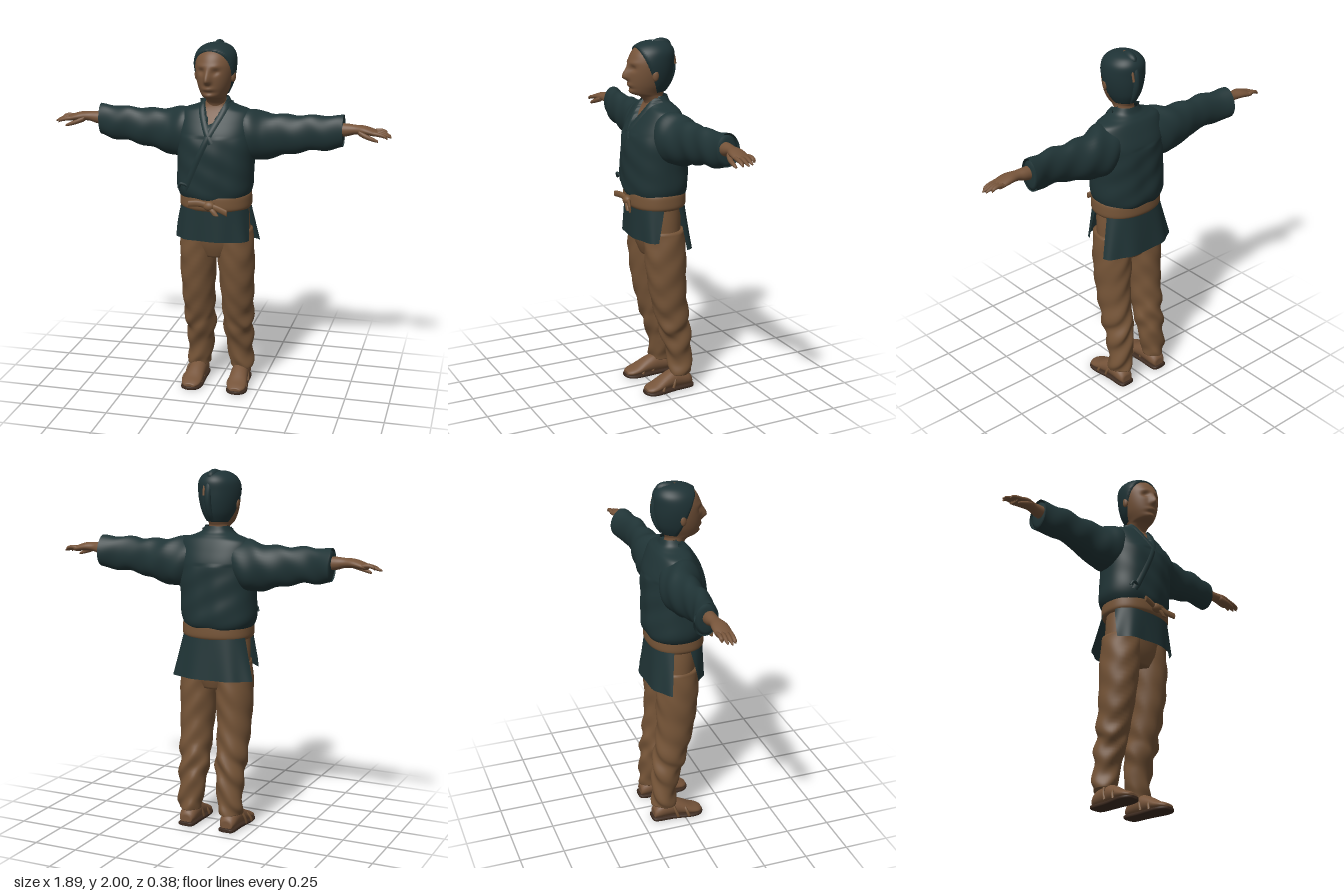
import * as THREE from 'three';

const DS = THREE.DoubleSide;
const mat = (name, color, side = THREE.FrontSide) => {
  const m = new THREE.MeshStandardMaterial({ color, side });
  m.name = name;
  return m;
};
const clamp = THREE.MathUtils.clamp;
const gauss = (d, w) => Math.exp(-(d * d) / (w * w));

// Smooth interpolation through a list of sections, s in 0..1
function sectionAt(secs, s) {
  const f = s * (secs.length - 1), i = Math.min(Math.floor(f), secs.length - 2), t = f - i;
  const get = k => secs[clamp(k, 0, secs.length - 1)];
  const [a, b, c, d] = [get(i - 1), get(i), get(i + 1), get(i + 2)];
  return b.map((_, k) => 0.5 * (2 * b[k] + (c[k] - a[k]) * t + (2 * a[k] - 5 * b[k] + 4 * c[k] - d[k]) * t * t
    + (3 * b[k] - a[k] - 3 * c[k] + d[k]) * t * t * t));
}

// Grid of points (rows x cols) turned into a smooth surface
function grid(rows, cols, point, closed, flip = false) {
  const pos = [], idx = [];
  for (let r = 0; r <= rows; r++) for (let c = 0; c < (closed ? cols : cols + 1); c++) pos.push(...point(r / rows, c / cols));
  const w = closed ? cols : cols + 1;
  for (let r = 0; r < rows; r++) for (let c = 0; c < cols; c++) {
    const a = r * w + c, b = r * w + (c + 1) % w, d = a + w, e = b + w;
    if (flip) idx.push(a, b, d, b, e, d); else idx.push(a, d, b, b, d, e);
  }
  const g = new THREE.BufferGeometry();
  g.setAttribute('position', new THREE.Float32BufferAttribute(pos, 3));
  g.setIndex(idx);
  g.computeVertexNormals();
  return g;
}

// Loft of elliptical sections [t, cu, ru, cv, rv] along an axis.
// y: u=x v=z;  x: u=z v=y;  z: u=y v=x.  side -1 mirrors in x.
function loft(axis, secs, { n = 28, rows = 24, e = 1, side = 1, cap = true, deform } = {}) {
  if (cap) {
    const end = s => [s[0], s[1], 0.0005, s[3], 0.0005];
    secs = [end(secs[0]), ...secs, end(secs[secs.length - 1])];
  }
  const k = secs.length - 1;
  return grid(rows, n, (s, c) => {
    // straight end caps, curved in between
    let q;
    if (cap && (s * k < 1 || s * k > k - 1)) {
      const i = s * k < 1 ? 0 : k - 1, t = s * k - i;
      q = secs[i].map((v, j) => v + (secs[i + 1][j] - v) * t);
    } else q = cap ? sectionAt(secs.slice(1, -1), (s * k - 1) / (k - 2)) : sectionAt(secs, s);
    const a = c * Math.PI * 2, f = v => Math.sign(v) * Math.pow(Math.abs(v), e);
    const u = q[1] + q[2] * f(Math.cos(a)), v = q[3] + q[4] * f(Math.sin(a));
    const p = axis === 'y' ? [u, q[0], v] : axis === 'x' ? [q[0], v, u] : [v, u, q[0]];
    if (deform) deform(p, q);
    p[0] *= side;
    return p;
  }, true, side < 0);
}

const TORSO = [[1.13, -.005, .178, -.015, .14], [1.16, -.01, .198, -.018, .16], [1.21, -.01, .212, -.018, .168],
  [1.31, -.005, .212, -.015, .168], [1.42, 0, .215, -.015, .166], [1.50, 0, .215, -.02, .155], [1.57, 0, .21, -.026, .125],
  [1.62, 0, .19, -.03, .098], [1.645, 0, .125, -.027, .082], [1.665, 0, .085, -.022, .07], [1.695, 0, .066, -.02, .062]];
const TE = 0.88;
// Front surface of the jacket at (x, y)
function torsoZ(x, y) {
  let lo = 0, hi = 1;
  for (let i = 0; i < 24; i++) { const m = (lo + hi) / 2; if (sectionAt(TORSO, m)[0] < y) lo = m; else hi = m; }
  const q = sectionAt(TORSO, lo), u = Math.min(1, Math.abs((x - q[1]) / q[2]));
  return q[3] + q[4] * Math.pow(1 - Math.pow(u, 2 / TE), TE / 2);
}

const HEAD = [[1.58, 0, .062, -.015, .058], [1.65, 0, .054, -.014, .054], [1.69, 0, .056, .005, .064], [1.712, 0, .064, .025, .092],
  [1.76, 0, .086, .02, .113], [1.82, 0, .101, .015, .122], [1.88, 0, .106, .01, .122], [1.93, 0, .098, 0, .112],
  [1.963, 0, .072, -.006, .085], [1.98, 0, .038, -.01, .046], [1.984, 0, .004, -.01, .004]];

// Nose, eye sockets, brow, lips and chin
function faceShape(p) {
  const [x, y, z] = p;
  if (z < 0.03) return;
  const ax = Math.abs(x), low = y < 1.8 ? .016 : .05;
  p[2] += .034 * gauss(x, .017) * gauss(y - 1.8, low) - .013 * gauss(ax - .04, .02) * gauss(y - 1.848, .015)
    + .005 * gauss(ax - .04, .03) * gauss(y - 1.878, .012) + .009 * gauss(x, .03) * gauss(y - 1.757, .01)
    - .006 * gauss(x, .035) * gauss(y - 1.738, .008) + .008 * gauss(x, .03) * gauss(y - 1.718, .013);
}

export function createModel() {
  const model = new THREE.Group();
  const skin = mat('skin brown', 0x76543a), cotton = mat('trouser brown', 0x755437, DS);
  const cloth = mat('dark teal cloth', 0x203436, DS), hair = mat('dark teal hair', 0x1f3336);
  const sole = mat('dark sole', 0x3d2b20);
  const add = (name, geo, m, parent = model) => {
    const mesh = new THREE.Mesh(geo, m);
    mesh.name = name;
    parent.add(mesh);
    return mesh;
  };

  // Head, hair and topknot, turned a little to one side
  const head = new THREE.Group();
  head.name = 'head';
  head.rotation.y = -0.1;
  model.add(head);
  add('face and neck', loft('y', HEAD, { n: 72, rows: 90, deform: faceShape }), skin, head);
  add('hair cap', loft('y', HEAD.slice(3), {
    n: 72, rows: 50, deform: (p, q) => {
      const f = (p[1] - 1.75) * .42 - p[2] + .008, o = clamp(f * 1.5, -.03, .009);
      const dx = p[0] - q[1], dz = p[2] - q[3], l = Math.hypot(dx, dz) || 1;
      p[0] += dx / l * o; p[2] += dz / l * o; p[1] += o * .4;
    }
  }), hair, head);
  const knot = add('topknot', new THREE.SphereGeometry(1, 20, 14), hair, head);
  knot.scale.set(.028, .036, .058);
  knot.position.set(0, 1.963, -.05);
  const tailPath = new THREE.CatmullRomCurve3([[0, 1.965, -.06], [0, 1.92, -.105], [0, 1.84, -.118], [0, 1.77, -.098], [0, 1.73, -.07]]
    .map(v => new THREE.Vector3(...v)));
  add('gathered back hair', new THREE.TubeGeometry(tailPath, 24, .018, 12), hair, head);
  const bandPath = new THREE.CatmullRomCurve3([[.022, 1.95, -.088], [.024, 1.91, -.114], [.022, 1.86, -.126]]
    .map(v => new THREE.Vector3(...v)));
  add('hair parting', new THREE.TubeGeometry(bandPath, 12, .007, 8), skin, head);
  for (const s of [-1, 1]) {
    const ear = add('ear', new THREE.SphereGeometry(1, 14, 10), skin, head);
    ear.scale.set(.012, .03, .018);
    ear.position.set(s * .104, 1.815, .018);
    ear.rotation.y = s * -.3;
  }

  // Jacket body with a V opening pressed in over the chest
  const vEdge = y => { const t = (y - 1.525) / .165; return [-.015 - .055 * t, -.015 + .085 * t]; };
  const folds = p => .004 * Math.sin(p[0] * 34 + p[1] * 21) * Math.sin(p[1] * 26 - p[0] * 9);
  add('jacket body', loft('y', TORSO, {
    n: 96, rows: 80, e: TE, cap: false, deform: p => {
      const [l, r] = vEdge(p[1]);
      if (p[2] > -.02 && p[1] > 1.525) p[2] -= clamp(Math.min(p[0] - l, r - p[0]) * 3, 0, .035);
      if (p[1] < 1.5) p[2] += folds(p);
    }
  }), cloth);
  add('chest', loft('y', TORSO.slice(4), {
    n: 48, rows: 40, e: TE, cap: false, deform: p => { p[0] *= .85; p[1] -= .008; p[2] = p[2] * .9 - .004; }
  }), skin);
  const lapel = (name, pts, w) => {
    const path = new THREE.CatmullRomCurve3(pts.map(([x, y]) => new THREE.Vector3(x, y, 0)));
    add(name, grid(40, 6, (s, c) => {
      const q = path.getPoint(s), t = path.getTangent(s), x = q.x - t.y * w * c, y = q.y + t.x * w * c;
      return [x, y + .003, torsoZ(x, y) + .002 + .007 * Math.sin(Math.PI * Math.min(1, .15 + c * .85))];
    }, false), cloth);
  };
  lapel('right lapel', [[-.066, 1.685], [-.045, 1.61], [-.01, 1.525], [.02, 1.47]], -.03);
  lapel('left lapel', [[.066, 1.685], [.03, 1.61], [-.015, 1.525], [-.09, 1.36], [-.16, 1.2]], .032);

  // Arms
  for (const s of [-1, 1]) {
    const arm = new THREE.Group();
    arm.name = s > 0 ? 'left arm' : 'right arm';
    model.add(arm);
    add('sleeve', loft('x', [[.08, -.03, .09, 1.51, .11], [.18, -.035, .115, 1.49, .138], [.26, -.05, .1, 1.485, .13],
      [.37, -.055, .075, 1.494, .112], [.5, -.052, .06, 1.51, .098], [.61, -.066, .06, 1.516, .094], [.685, -.085, .066, 1.522, .088]], {
      n: 40, rows: 50, side: s, cap: false, deform: p => {
        p[1] += .005 * Math.sin(p[0] * 42 + p[2] * 25); p[2] += .004 * Math.sin(p[0] * 37 + p[1] * 20);
      }
    }), cloth);
    add('cuff lining', loft('x', [[.6, -.07, .04, 1.517, .07], [.684, -.084, .06, 1.522, .082]], { n: 32, rows: 8, side: s }), cloth);
    add('wrist and palm', loft('x', [[.6, -.07, .036, 1.53, .04], [.70, -.07, .034, 1.535, .035], [.75, -.066, .03, 1.54, .026],
      [.80, -.063, .042, 1.54, .024], [.85, -.063, .044, 1.53, .019], [.872, -.063, .04, 1.524, .014]], { side: s }), skin);
    // Fingers from front to back, then thumb
    [.925, .945, .94, .918].forEach((tip, i) => {
      const z = -.03 - i * .022, d = i * .004;
      add('finger', loft('x', [[.845, z, .011, 1.53, .012], [.885, z, .011, 1.524 + d, .011], [.915, z, .01, 1.515 + d, .009],
        [tip, z, .005, 1.505 + d, .005]], { n: 10, rows: 12, side: s }), skin);
    });
    add('thumb', loft('x', [[.77, -.04, .015, 1.53, .016], [.81, -.024, .014, 1.514, .014], [.85, -.02, .011, 1.5, .011],
      [.878, -.021, .006, 1.49, .006]], { n: 10, rows: 12, side: s }), skin);
  }

  // Trousers
  add('trouser seat', loft('y', [[.8, -.003, .1, -.03, .09], [.88, -.003, .18, -.028, .115], [1.0, -.003, .19, -.022, .125],
    [1.13, -.003, .178, -.015, .13]], { n: 40 }), cotton);
  for (const s of [-1, 1]) {
    const leg = new THREE.Group();
    leg.name = s > 0 ? 'left leg' : 'right leg';
    leg.position.x = s > 0 ? -.002 : -.012;
    model.add(leg);
    add('trouser leg', loft('y', [[.1, .125, .064, -.118, .066], [.14, .122, .07, -.115, .068], [.22, .117, .074, -.112, .07],
      [.34, .112, .083, -.09, .085], [.43, .113, .087, -.073, .093], [.6, .113, .094, -.043, .106], [.8, .108, .104, -.03, .118],
      [.96, .098, .102, -.025, .115]], {
      n: 48, rows: 70, side: s, deform: p => {
        const y = p[1], w = .003 + .005 * gauss(y - .36, .12) + .004 * gauss(y - .13, .05);
        p[0] += w * Math.sin(y * 38 + p[2] * 30); p[2] += w * Math.sin(y * 45 + p[0] * 55);
      }
    }), cotton);
    // Foot with sandal
    add('foot', loft('z', [[-.18, .045, .03, .125, .035], [-.15, .06, .045, .125, .048], [-.08, .07, .055, .125, .05],
      [-.02, .06, .045, .128, .052], [.04, .042, .028, .132, .056], [.08, .034, .02, .134, .05], [.103, .03, .012, .134, .03]],
    { side: s }), skin);
    add('sandal sole', loft('z', [[-.192, .018, .01, .125, .03], [-.17, .016, .013, .125, .048], [-.07, .014, .013, .126, .05],
      [.04, .013, .012, .132, .061], [.09, .014, .011, .134, .05], [.112, .016, .009, .134, .022]], { e: .6, side: s }), sole);
    for (const [z, y, r, h] of [[.015, .022, .056, .062], [-.05, .03, .053, .088]]) {
      const strap = add('sandal strap', new THREE.TorusGeometry(1, .12, 8, 24, Math.PI), cotton, leg);
      strap.scale.set(r, h, .07);
      strap.position.set(s * .128, y, z);
      strap.rotation.x = -.35;
    }
  }

  // Jacket skirt: front and back panels split at the sides
  const panel = (name, mid, spanTop, spanBottom, yb, rxb, rzb, czb) => add(name, grid(16, 48, (s, c) => {
    const span = spanTop + (spanBottom - spanTop) * s, a = mid + (c - .5) * 2 * span;
    const rx = .188 + (rxb - .188) * s, rz = .146 + (rzb - .146) * s, cz = -.015 + (czb + .015) * s;
    const wave = 1 + .025 * s * Math.sin(a * 9 + 1), f = v => Math.sign(v) * Math.pow(Math.abs(v), .82);
    return [-.004 + rx * f(Math.cos(a)) * wave, 1.12 + (yb - 1.12) * s, cz + rz * f(Math.sin(a)) * wave];
  }, false, true), cloth);
  panel('front skirt panel', Math.PI / 2, 1.45, 1.12, .912, .228, .152, -.02);
  panel('back skirt panel', -Math.PI / 2, 1.25, 1.18, .865, .255, .16, -.03);

  // Belt with knot and two loose ends
  add('belt', loft('y', [[1.085, -.003, .19, -.015, .148], [1.1, -.003, .199, -.015, .156], [1.13, -.003, .2, -.015, .157],
    [1.165, -.003, .197, -.015, .154], [1.18, -.003, .185, -.015, .142]], { n: 64, e: TE }), cotton);
  const beltKnot = add('belt knot', new THREE.SphereGeometry(1, 16, 12), cotton);
  beltKnot.scale.set(.034, .027, .024);
  beltKnot.position.set(-.002, 1.122, .15);
  add('belt end', loft('x', [[-.112, .172, .008, 1.135, .017], [-.06, .158, .01, 1.136, .018], [0, .148, .012, 1.122, .018]], { n: 14 }), cotton);
  add('belt end', loft('x', [[0, .148, .012, 1.125, .016], [.05, .162, .01, 1.112, .018], [.105, .184, .008, 1.097, .018]], { n: 14 }), cotton);
  add('belt tail', loft('y', [[1.075, .04, .016, .168, .007], [1.1, .02, .018, .162, .01], [1.125, .0, .016, .15, .012]], { n: 14 }), cotton);

  // Small side tie of the jacket
  const tie = new THREE.CatmullRomCurve3([[-.13, 1.225, .13], [-.165, 1.235, .135], [-.18, 1.21, .125]].map(v => new THREE.Vector3(...v)));
  add('side tie', new THREE.TubeGeometry(tie, 10, .008, 8), cloth);
  return model;
}
